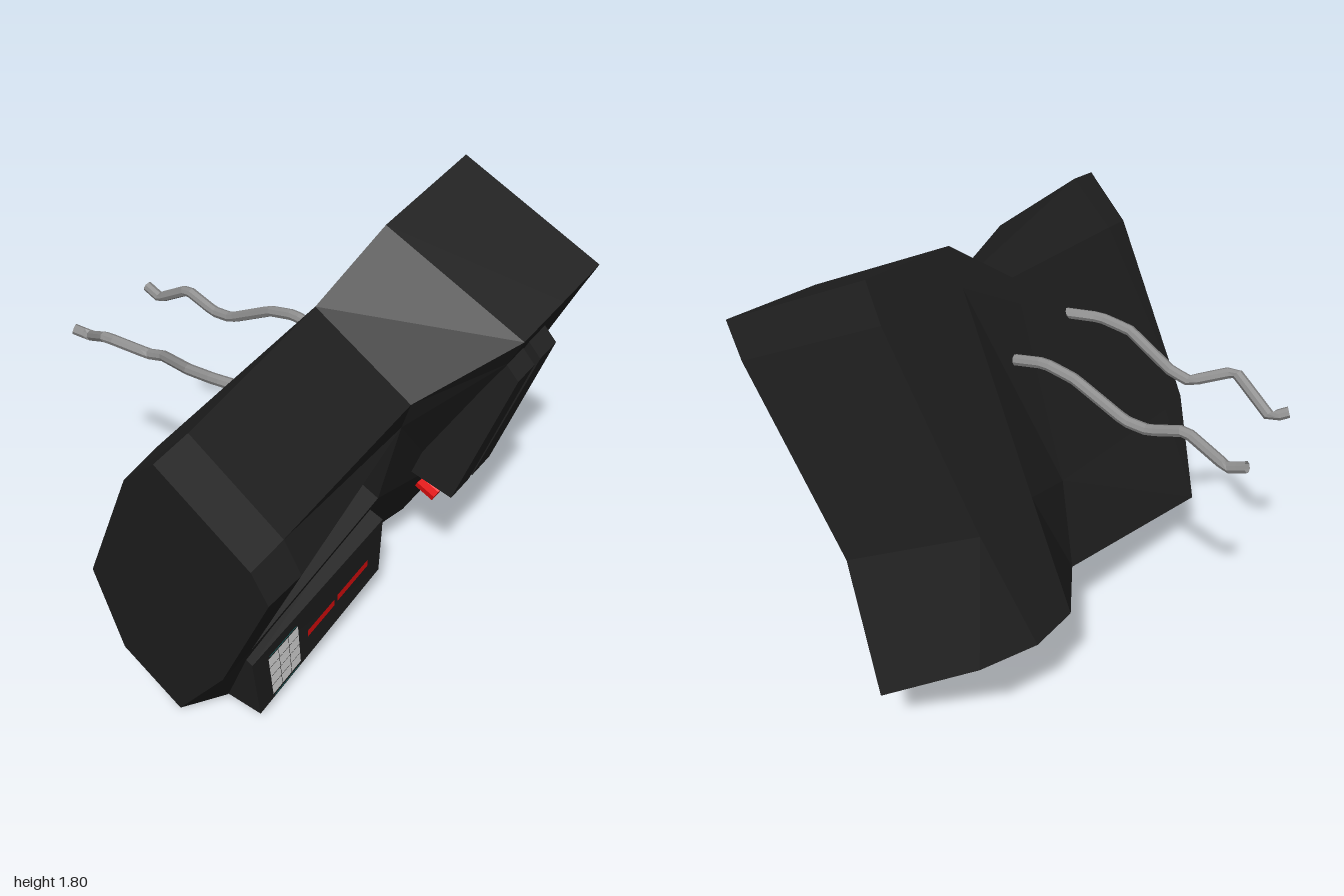
import * as THREE from 'three';

const mat = (name, color, side = THREE.FrontSide) => {
  const m = new THREE.MeshStandardMaterial({ color, side });
  m.name = name;
  return m;
};

// Flat-shaded mesh from an indexed geometry
function flatMesh(name, geometry, material) {
  const g = geometry.toNonIndexed();
  g.computeVertexNormals();
  const mesh = new THREE.Mesh(g, material);
  mesh.name = name;
  return mesh;
}

// Flat-shaded mesh from a list of quads, each four [x, y, z] corners
function quadMesh(name, quads, material) {
  const pos = [];
  for (const [a, b, c, d] of quads) pos.push(...a, ...b, ...c, ...a, ...c, ...d);
  const g = new THREE.BufferGeometry();
  g.setAttribute('position', new THREE.Float32BufferAttribute(pos, 3));
  g.computeVertexNormals();
  const mesh = new THREE.Mesh(g, material);
  mesh.name = name;
  return mesh;
}

// Block joining a front and a back quad (both counter-clockwise seen from the front)
function block(name, f, b, material) {
  const quads = [f, [...b].reverse()];
  for (let i = 0; i < 4; i++) {
    const k = (i + 1) % 4;
    quads.push([f[k], f[i], b[i], b[k]]);
  }
  return quadMesh(name, quads, material);
}

// Point on a quad [topLeft, bottomLeft, bottomRight, topRight]; s to the right, t up
const onQuad = ([tl, bl, br, tr], s, t, lift) => [0, 1, 2].map((k) =>
  (1 - s) * ((1 - t) * bl[k] + t * tl[k]) + s * ((1 - t) * br[k] + t * tr[k]) + (k === 2 ? lift : 0));

function plate(name, quad, s0, s1, t0, t1, material, lift = 0.005) {
  const p = (s, t) => onQuad(quad, s, t, lift);
  return quadMesh(name, [[p(s0, t1), p(s0, t0), p(s1, t0), p(s1, t1)]], material);
}

export function createModel() {
  const root = new THREE.Group();
  root.name = 'console';
  const casing = mat('casing black', 0x202020);
  const red = mat('signal red', 0xf81010, THREE.DoubleSide);
  const green = mat('button green', 0x118a34);
  const white = mat('key white', 0xeeeeee, THREE.DoubleSide);
  const grey = mat('cable grey', 0x8c8c8c, THREE.DoubleSide);
  const cyan = mat('trim cyan', 0x18b8b8, THREE.DoubleSide);

  // Everything but the cables leans forward and rolls to one side
  const tilt = new THREE.Group();
  tilt.name = 'tiltedConsole';
  tilt.rotation.set(0.45, 0, 0.188, 'ZYX');
  root.add(tilt);

  // Casing cross-sections [height, depth]: top back, top front, upper front,
  // lower front, bottom front, bottom back, lower back, upper back
  const tall = [[1.59, -0.475], [1.587, 0.143], [1.44, 0.14], [0.64, 0.15],
    [0.222, 0.148], [0.22, -0.478], [0.67, -0.475], [1.44, -0.475]];
  const sections = [
    [[1.643, -0.383], [1.544, 0.031], [1.45, 0.13], [0.72, 0.13],
      [0.174, 0.049], [0.247, -0.257], [0.632, -0.483], [1.415, -0.462]],
    [[1.643, -0.383], [1.544, 0.031], [1.443, 0.135], [0.72, 0.13],
      [0.222, 0.148], [0.22, -0.477], [0.62, -0.475], [1.415, -0.47]],
    [[1.4, -0.472], [1.328, -0.009], [1.182, 0.006], [0.7, 0.08],
      [0.19, 0.08], [0.275, -0.33], [0.62, -0.41], [1.3, -0.472]],
    tall, tall,
    tall.map((p, j) => (j === 4 ? [0.18, 0.068] : j === 5 ? [0.253, -0.395] : p)),
  ];
  const across = [-0.706, -0.554, 0.25, 0.565, 0.81, 1.045];
  const waist = { 3: 0.89, 6: 0.915 };
  const loops = sections.map((sec, i) => sec.map(([v, n], j) =>
    [i === 5 && waist[j] ? waist[j] : i === 4 && waist[j] ? 0.77 : across[i], v, n]));

  const quads = [];
  for (let i = 0; i < 5; i++) {
    for (let j = 0; j < 8; j++) {
      if (i === 1 && j === 2) continue; // opening of the screen
      const k = (j + 1) % 8;
      const q = [loops[i][j], loops[i][k], loops[i + 1][k], loops[i + 1][j]];
      if (i === 0 && j === 5) q.push(q.shift()); // chamfered corner folds the other way
      quads.push(q);
    }
  }
  // Side walls
  for (const [a, b, c, d] of [[0, 1, 2, 7], [7, 2, 3, 6], [6, 3, 4, 5]]) {
    const l = loops[0], r = loops[5];
    quads.push([r[a], r[b], r[c], r[d]], [l[d], l[c], l[b], l[a]]);
  }
  tilt.add(quadMesh('casing', quads, casing));

  // Recessed screen
  const rim = [loops[1][2], loops[1][3], loops[2][3], loops[2][2]];
  const floor = rim.map(([x, y, z]) => [x, y, z - 0.08]);
  const recess = [floor];
  for (let i = 0; i < 4; i++) {
    const k = (i + 1) % 4;
    recess.push([rim[i], rim[k], floor[k], floor[i]]);
  }
  tilt.add(quadMesh('screen', recess, casing));
  tilt.add(plate('screenMark', floor, 0.1, 0.138, 0.71, 0.765, white, 0.015));
  tilt.add(plate('screenMark', floor, 0.645, 0.665, 0.49, 0.53, white, 0.022));

  // Wedge panel below the screen, facing straight ahead
  const local = (r, u, z) => [r, 0.9 * u + 0.435 * z, -0.435 * u + 0.9 * z];
  const panel = [local(-0.556, 0.48, 0.415), local(-0.553, 0.15, 0.395),
    local(0.243, 0.147, 0.345), local(0.25, 0.48, 0.39)];
  const panelBack = [local(-0.556, 0.515, 0.36), local(-0.553, 0.136, 0.2),
    local(0.243, 0.136, 0.16), local(0.25, 0.51, 0.3)];
  tilt.add(block('controlPanel', panel, panelBack, casing));

  // Keypad, four rows of three keys
  for (let row = 0; row < 4; row++) {
    for (let col = 0; col < 3; col++) {
      const s = 0.1 + col * 0.074, t = 0.11 + row * 0.182;
      tilt.add(plate('key', panel, s, s + 0.071, t, t + 0.174, white));
    }
  }
  for (const t of [0.06, 0.855]) {
    tilt.add(plate('keypadTrim', panel, 0.11, 0.31, t, t + 0.01, cyan));
  }

  // Red readouts
  tilt.add(plate('readout', panel, 0.387, 0.603, 0.415, 0.53, red));
  tilt.add(plate('readout', panel, 0.628, 0.88, 0.43, 0.55, red));

  // Two slanted bars, thicker towards the bottom
  for (const x of [0, 0.14]) {
    const front = [[0.565 + x, 1.4, 0.207], [0.412 + x, 0.787, 0.285],
      [0.53 + x, 0.787, 0.285], [0.667 + x, 1.4, 0.207]];
    const back = [[0.568 + x, 1.457, 0.08], [0.412 + x, 0.72, 0.02],
      [0.53 + x, 0.72, 0.02], [0.67 + x, 1.457, 0.08]];
    tilt.add(block('slotBar', front, back, casing));
  }

  // Push buttons
  for (const [x, m, name] of [[0.554, red, 'redButton'], [0.754, green, 'greenButton']]) {
    const button = flatMesh(name, new THREE.CylinderGeometry(0.046, 0.046, 0.12, 10), m);
    button.rotation.x = Math.PI / 2;
    button.position.set(x, 0.535, 0.165);
    tilt.add(button);
  }

  // Wavy cables trailing from the back
  const cables = {
    rightCable: [[-0.275, 1.24, 0.14], [-0.315, 1.24, -0.03], [-0.31, 1.22, -0.16], [-0.235, 1.15, -0.36],
      [-0.235, 1.125, -0.44], [-0.305, 1.17, -0.59], [-0.235, 1.07, -0.76], [-0.265, 1.09, -0.82]],
    leftCable: [[0.135, 1.26, 0.08], [0.135, 1.28, -0.04], [0.135, 1.25, -0.16], [0.135, 1.14, -0.36],
      [0.135, 1.13, -0.45], [0.135, 1.17, -0.59], [0.135, 1.075, -0.75], [0.135, 1.1, -0.82]],
  };
  for (const [name, pts] of Object.entries(cables)) {
    const curve = new THREE.CatmullRomCurve3(
      pts.map((p) => new THREE.Vector3(...p)), false, 'catmullrom', 0.05);
    root.add(flatMesh(name, new THREE.TubeGeometry(curve, 28, 0.021, 8), grey));
  }
  return root;
}
